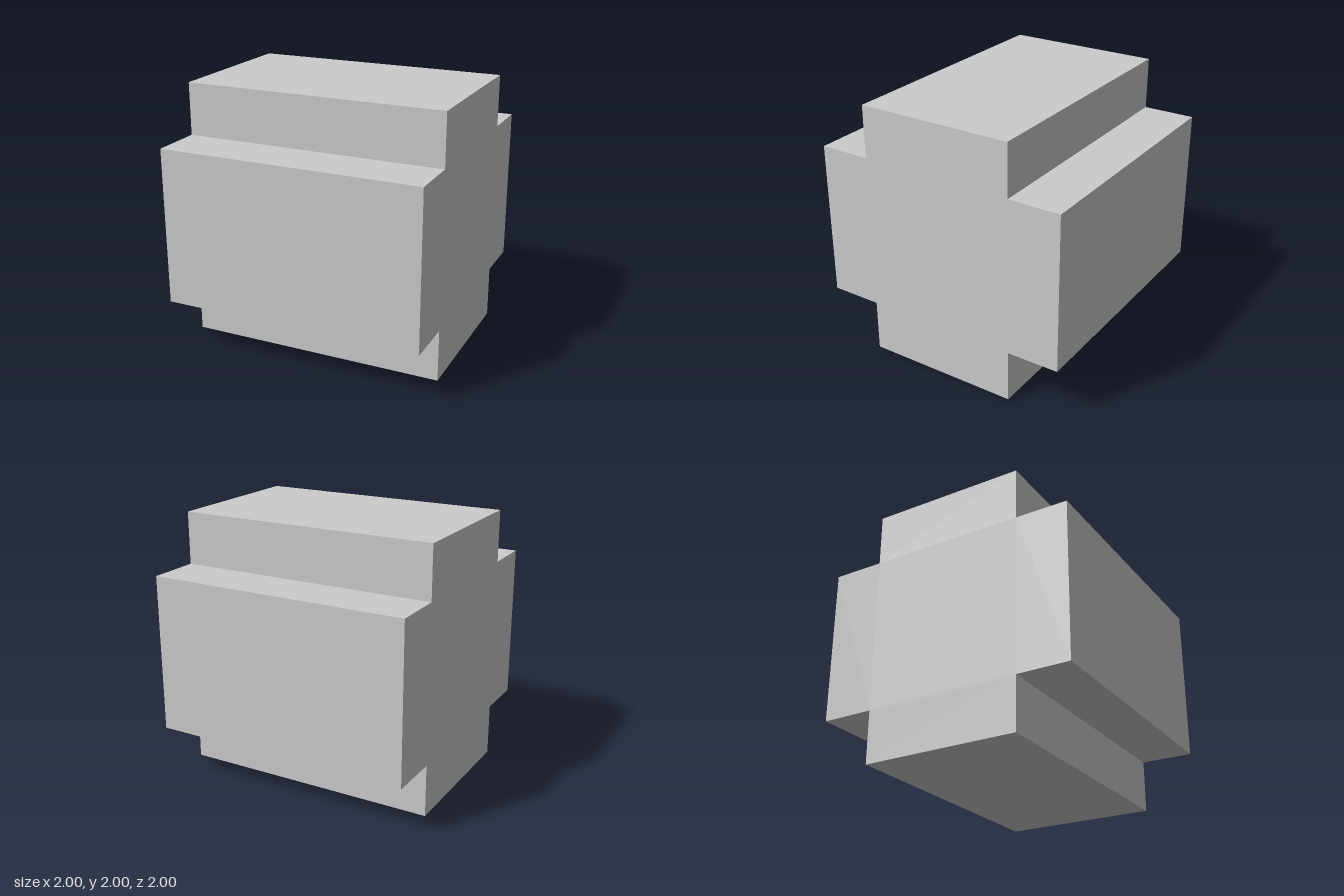
import * as THREE from 'three';

export function createModel() {
  const group = new THREE.Group();
  group.name = 'crossBlock';

  const outer = 1;    // half-length of the cross arms
  const inner = 0.6;  // half-width of the cross arms
  const length = 2;   // extent along x

  // Plus-shaped section: one corner notch, turned through four quarters
  const points = [];
  for (let i = 0; i < 4; i++) {
    for (const [x, y] of [[outer, inner], [inner, inner], [inner, outer]]) {
      points.push(new THREE.Vector2(x, y).rotateAround(new THREE.Vector2(), i * Math.PI / 2));
    }
  }

  // Extrude the section, then lay its length along x and stand it on y = 0
  const geometry = new THREE.ExtrudeGeometry(new THREE.Shape(points), { depth: length, bevelEnabled: false });
  geometry.translate(0, 0, -length / 2);
  geometry.rotateY(Math.PI / 2);
  geometry.translate(0, outer, 0);

  const block = new THREE.Mesh(geometry, new THREE.MeshStandardMaterial({ color: 0xcccccc, flatShading: true }));
  block.name = 'crossPrism';
  group.add(block);
  return group;
}
